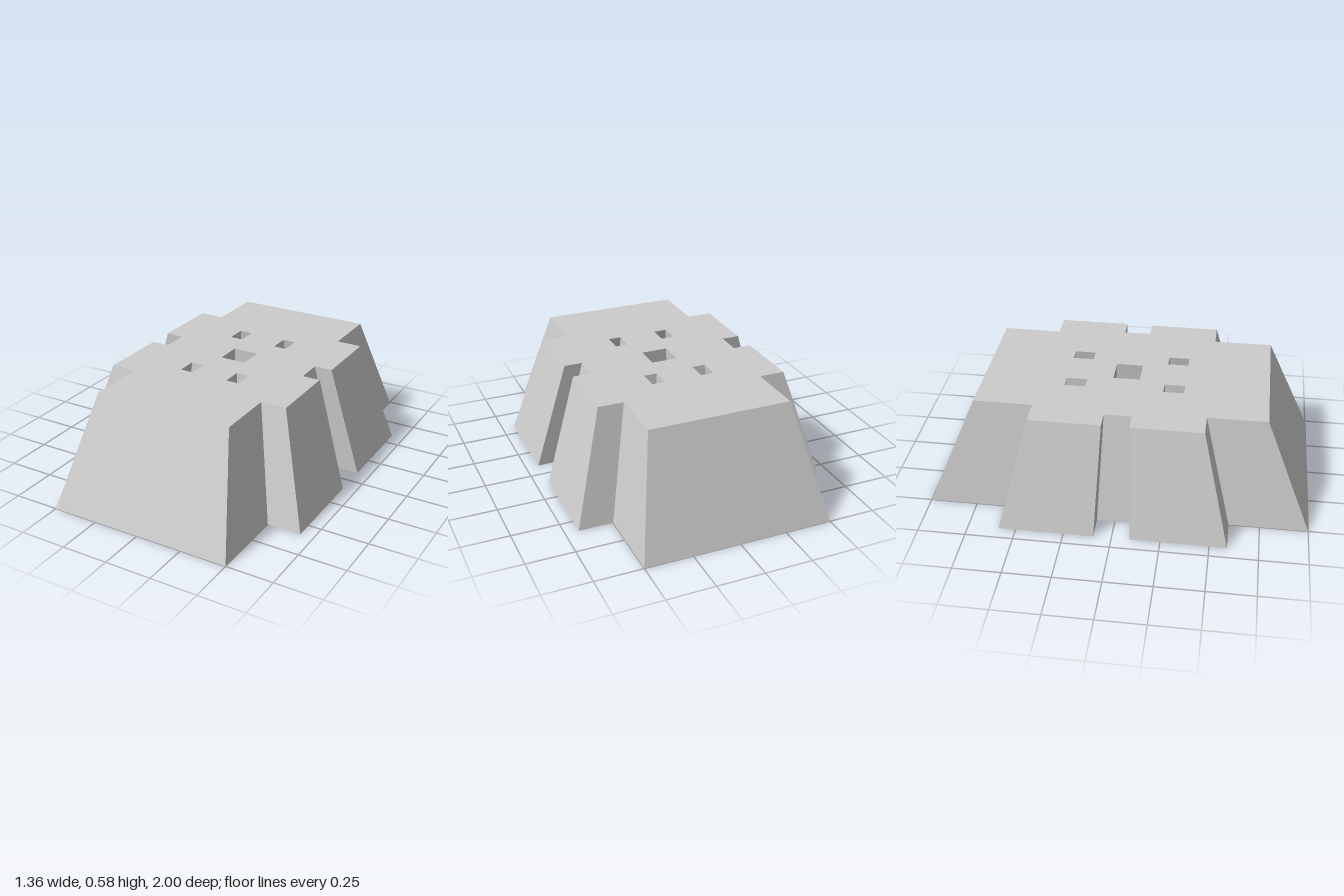
import * as THREE from 'three';

const HEIGHT = 0.58;
const TAPER = 0.752; // size of the top face relative to the base

// Closed rectangular hole centred on (x, y)
function rectHole(x, y, w, d) {
  return new THREE.Path([
    [x - w / 2, y - d / 2], [x - w / 2, y + d / 2],
    [x + w / 2, y + d / 2], [x + w / 2, y - d / 2],
  ].map(([a, b]) => new THREE.Vector2(a, b)));
}

export function createModel() {
  const group = new THREE.Group();

  // One quarter of the base outline, from the side notch round to the end
  const quarter = [[0.552, 0.094], [0.68, 0.094], [0.68, 0.59], [0.5, 0.59], [0.5, 1]];
  const mirror = (sx, sy) => quarter.map(([x, y]) => new THREE.Vector2(x * sx, y * sy));
  const outline = new THREE.Shape([
    ...mirror(1, 1),
    ...mirror(-1, 1).reverse(),
    ...mirror(-1, -1),
    ...mirror(1, -1).reverse(),
  ]);

  // Central hole and four smaller ones around it
  outline.holes.push(rectHole(0, 0, 0.187, 0.187));
  for (const sx of [-1, 1]) {
    for (const sy of [-1, 1]) outline.holes.push(rectHole(sx * 0.182, sy * 0.344, 0.093, 0.145));
  }

  // Extrude upwards, then draw the top face in so every wall leans to the centre
  const geometry = new THREE.ExtrudeGeometry(outline, { depth: HEIGHT, bevelEnabled: false });
  const pos = geometry.attributes.position;
  for (let i = 0; i < pos.count; i++) {
    const k = THREE.MathUtils.lerp(1, TAPER, pos.getZ(i) / HEIGHT);
    pos.setXY(i, pos.getX(i) * k, pos.getY(i) * k);
  }
  geometry.rotateX(-Math.PI / 2);
  geometry.computeVertexNormals();

  const block = new THREE.Mesh(
    geometry,
    new THREE.MeshStandardMaterial({ color: 0xcccccc, flatShading: true })
  );
  block.name = 'taperedBlock';
  group.add(block);
  return group;
}
